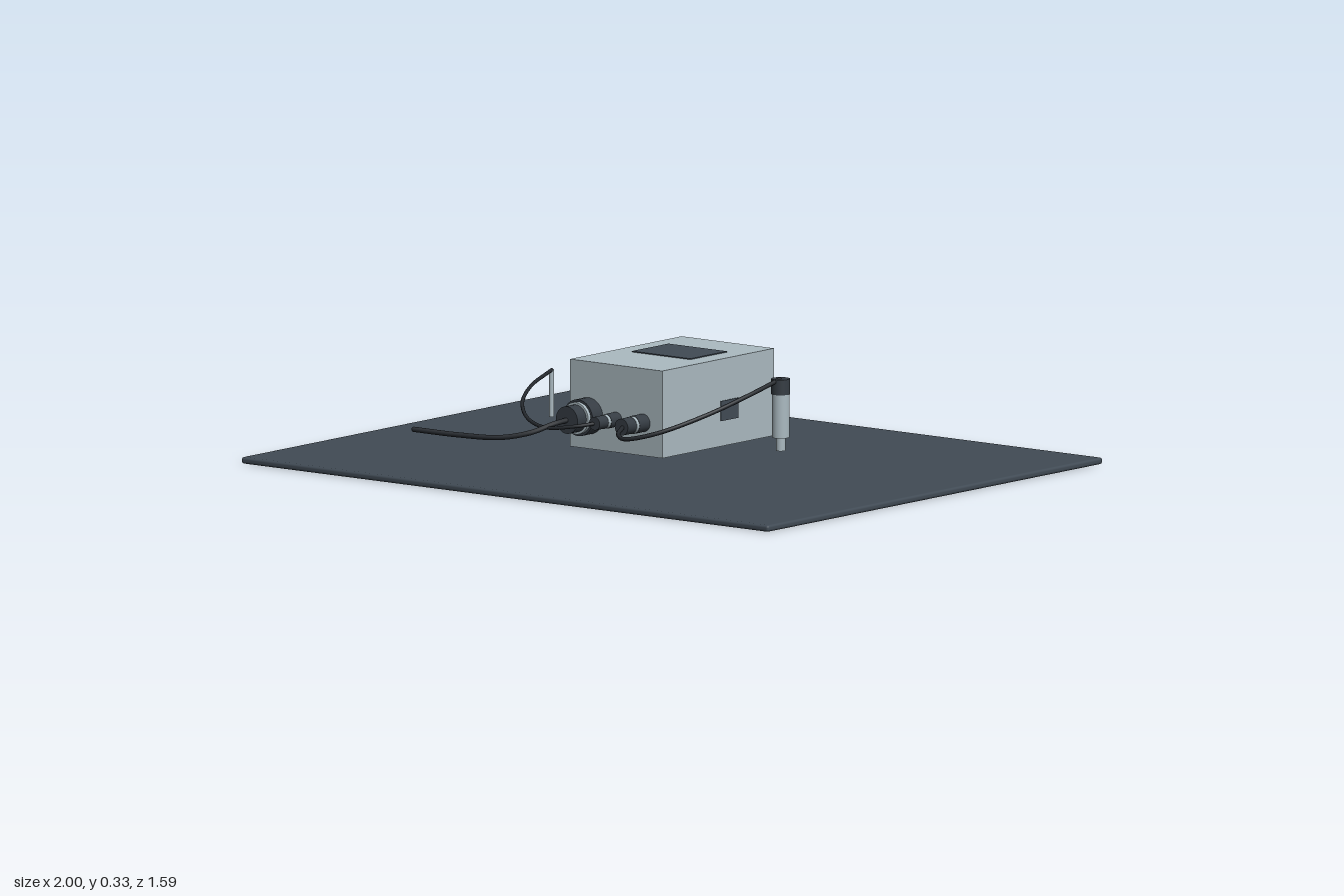
import * as THREE from 'three';
import { RoundedBoxGeometry } from 'three/addons/geometries/RoundedBoxGeometry.js';

const mat = (name, color) => new THREE.MeshStandardMaterial({ name, color });

export function createModel() {
  const model = new THREE.Group();
  model.name = 'sensorStation';
  const slate = mat('slate', 0x414b55);
  const casing = mat('pale grey casing', 0xabbac1);
  const rubber = mat('black rubber', 0x25292e);
  const plastic = mat('dark plastic', 0x353c43);

  const add = (name, geometry, material, x, y, z, parent = model) => {
    const mesh = new THREE.Mesh(geometry, material);
    mesh.name = name;
    mesh.position.set(x, y, z);
    parent.add(mesh);
    return mesh;
  };
  // Upright cylinder between two heights
  const post = (name, r, y0, y1, material, x, z) =>
    add(name, new THREE.CylinderGeometry(r, r, y1 - y0, 32), material, x, (y0 + y1) / 2, z);

  // Base mat
  add('baseMat', new RoundedBoxGeometry(2, 0.02, 1.59, 2, 0.008), slate, 0, 0.01, 0);

  // Housing with a display on top and a small window on its left side
  add('housing', new THREE.BoxGeometry(0.35, 0.262, 0.53), casing, 0, 0.2, 0);
  add('display', new THREE.BoxGeometry(0.222, 0.004, 0.174), slate, 0, 0.332, -0.035);
  add('sideWindow', new THREE.BoxGeometry(0.004, 0.06, 0.082), slate, 0.176, 0.175, -0.052);

  // Connectors: collar, pale ring and cable gland along z
  const connector = (name, x, collarR, glandR) => {
    const group = new THREE.Group();
    group.name = name;
    group.position.set(x, 0.168, 0);
    const disc = (part, r, z0, z1, material) => {
      const g = new THREE.CylinderGeometry(r, r, z1 - z0, 32).rotateX(Math.PI / 2);
      add(part, g, material, 0, 0, (z0 + z1) / 2, group);
    };
    disc('collar', collarR, 0.26, 0.314, plastic);
    disc('ring', (collarR + glandR) / 2, 0.314, 0.326, casing);
    disc('gland', glandR, 0.326, 0.368, plastic);
    model.add(group);
  };
  connector('powerConnector', -0.105, 0.055, 0.041);
  connector('probeConnector', 0, 0.022, 0.02);
  connector('sensorConnector', 0.102, 0.027, 0.025);

  // Cylindrical sensor
  post('sensorTip', 0.014, 0.09, 0.132, casing, 0.44, 0.035);
  post('sensorBody', 0.026, 0.13, 0.262, casing, 0.44, 0.035);
  post('sensorCap', 0.028, 0.26, 0.306, plastic, 0.44, 0.035);

  // Thin probe
  post('probe', 0.008, 0.095, 0.235, casing, -0.457, 0);

  // Cables
  const cable = (name, r, points) => {
    const curve = new THREE.CatmullRomCurve3(points.map(p => new THREE.Vector3(...p)));
    add(name, new THREE.TubeGeometry(curve, 80, r, 10), rubber, 0, 0, 0);
    // Closed ends
    for (const t of [0, 1]) {
      const p = curve.getPoint(t);
      add(name + 'End', new THREE.SphereGeometry(r, 10, 8), rubber, p.x, p.y, p.z);
    }
  };
  cable('powerCable', 0.008, [
    [-0.105, 0.168, 0.36], [-0.122, 0.16, 0.41], [-0.16, 0.138, 0.47],
    [-0.235, 0.122, 0.52], [-0.36, 0.122, 0.56], [-0.497, 0.13, 0.602],
  ]);
  cable('probeCable', 0.0055, [
    [0, 0.168, 0.36], [-0.045, 0.16, 0.405], [-0.13, 0.15, 0.428], [-0.22, 0.16, 0.4],
    [-0.32, 0.187, 0.31], [-0.4, 0.214, 0.17], [-0.457, 0.235, 0],
  ]);
  cable('sensorCable', 0.0065, [
    [0.102, 0.168, 0.36], [0.14, 0.158, 0.43], [0.2, 0.155, 0.47], [0.29, 0.177, 0.435],
    [0.38, 0.224, 0.32], [0.428, 0.27, 0.18], [0.44, 0.304, 0.04],
  ]);

  return model;
}
